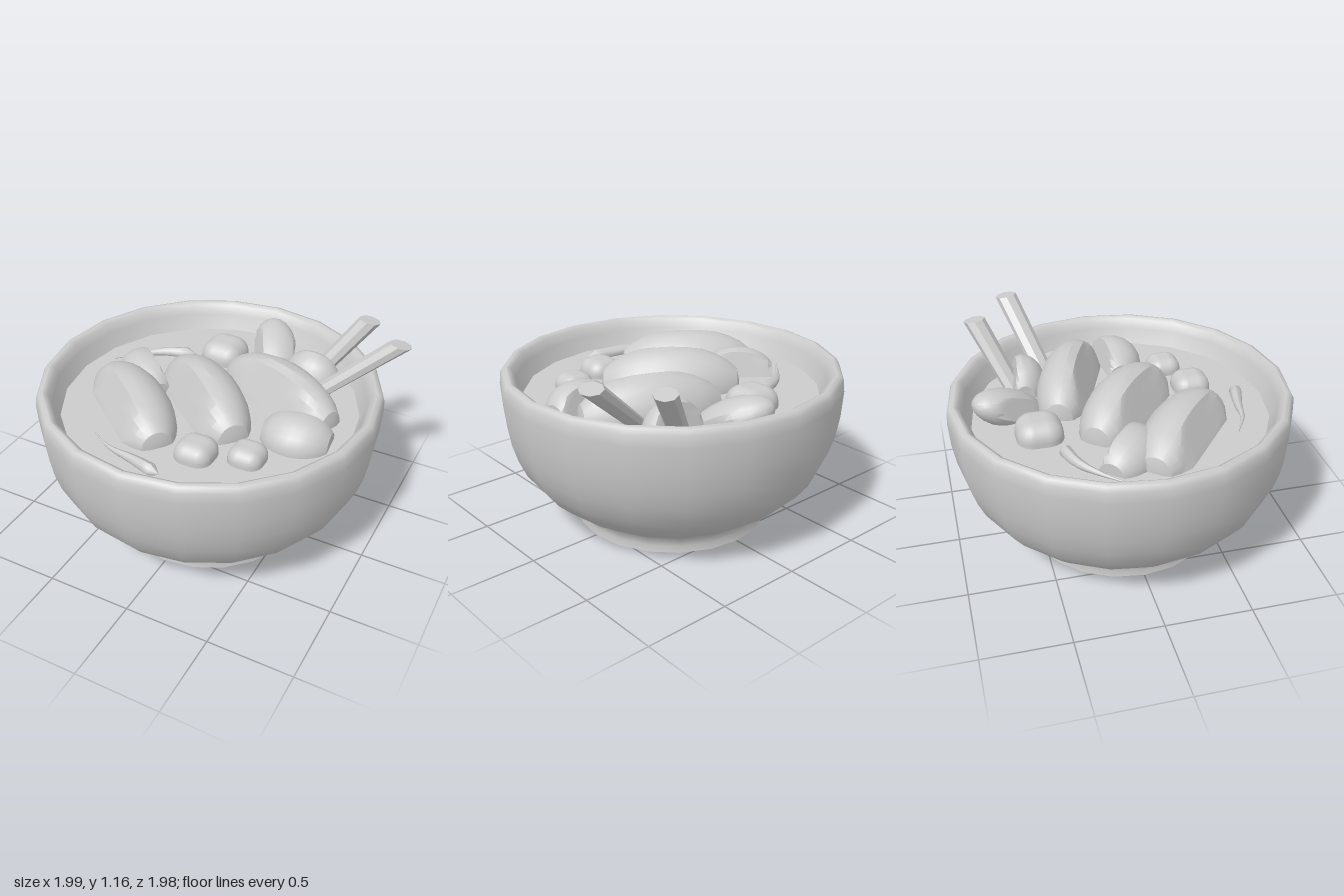
import * as THREE from 'three';
import { toCreasedNormals } from 'three/addons/utils/BufferGeometryUtils.js';
import { RoundedBoxGeometry } from 'three/addons/geometries/RoundedBoxGeometry.js';

const material = new THREE.MeshStandardMaterial({ color: 0xcccccc });
const SOUP_Y = 0.77;

export function createModel() {
  const model = new THREE.Group();

  function add(name, geometry, x = 0, y = 0, z = 0, turn = 0, tilt = 0) {
    const mesh = new THREE.Mesh(geometry, material);
    mesh.name = name;
    mesh.position.set(x, y, z);
    mesh.rotation.set(0, -THREE.MathUtils.degToRad(turn), THREE.MathUtils.degToRad(tilt));
    model.add(mesh);
    return mesh;
  }

  // Ellipsoid with flat cuts; each cut is [nx, ny, nz, distance] on the unit sphere
  function cutPiece(sx, sy, sz, cuts) {
    const g = new THREE.SphereGeometry(1, 20, 14);
    g.rotateZ(Math.PI / 2);
    const pos = g.attributes.position;
    const p = new THREE.Vector3();
    const n = new THREE.Vector3();
    for (let i = 0; i < pos.count; i++) {
      p.fromBufferAttribute(pos, i);
      for (const [nx, ny, nz, d] of cuts) {
        n.set(nx, ny, nz).normalize();
        const over = p.dot(n) - d;
        if (over > 0) p.addScaledVector(n, -over);
      }
      pos.setXYZ(i, p.x * sx, p.y * sy, p.z * sz);
    }
    return toCreasedNormals(g, 0.5);
  }

  // Bowl with foot, thick rim and inner wall
  const profile = [
    [0, 0], [0.575, 0], [0.57, 0.04], [0.58, 0.09], [0.65, 0.14], [0.74, 0.2], [0.82, 0.275],
    [0.885, 0.36], [0.93, 0.46], [0.96, 0.56], [0.98, 0.68], [0.99, 0.83], [0.985, 0.895],
    [0.97, 0.922], [0.945, 0.93], [0.92, 0.915], [0.9, 0.86], [0.86, SOUP_Y], [0.82, 0.69],
  ].map(([r, y]) => new THREE.Vector2(r, y));
  add('bowl', toCreasedNormals(new THREE.LatheGeometry(profile, 20), 0.85), -0.005);

  // Broth surface
  const broth = new THREE.CircleGeometry(0.862, 20);
  broth.rotateX(-Math.PI / 2);
  add('broth', broth, -0.005, SOUP_Y);

  // Three long wedges with one flat slanted face and blunt ends
  const wedgeCuts = [[0, 0.5, 0.87, 0.68], [1, 0, 0, 0.93], [-1, 0, 0, 0.93]];
  for (const [x, z, turn, half, height, width] of [
    [-0.36, 0.27, 39, 0.43, 0.215, 0.21],
    [-0.02, 0.03, 39, 0.43, 0.24, 0.21],
    [0.34, -0.225, 21, 0.43, 0.235, 0.19],
  ]) add('wedge', cutPiece(half, height, width, wedgeCuts), x, SOUP_Y, z, turn);

  // Smaller half-round chunks
  const chunkCuts = [[0, 0.25, -1, 0.45], [1, 0, 0, 0.9], [-1, 0, 0, 0.9]];
  for (const [x, z, turn, half, height, width] of [
    [0.58, 0.09, -6, 0.21, 0.16, 0.18],
    [0.42, -0.5, 4, 0.18, 0.19, 0.14],
    [-0.47, -0.07, 40, 0.23, 0.16, 0.17],
  ]) add('chunk', cutPiece(half, height, width, chunkCuts), x, SOUP_Y, z, turn);

  // Pointed slice propped up against the back wall
  const slice = cutPiece(0.24, 0.11, 0.14, [[0, -0.3, 1, 0.75], [-0.3, 0, -1, 0.85]]);
  add('proppedSlice', slice, 0.115, SOUP_Y + 0.04, -0.635, 62, 155);

  // Rounded cubes floating in the broth
  for (const [x, z, size] of [[-0.16, -0.5, 0.265], [0.16, 0.475, 0.22], [0.42, 0.38, 0.2]]) {
    add('cube', new RoundedBoxGeometry(size, size * 0.9, size, 3, size * 0.36), x, SOUP_Y, z);
  }

  // Thin curved slivers, tapering to a point at the start
  function sliver(points) {
    const curve = new THREE.CatmullRomCurve3(
      points.map(([x, z]) => new THREE.Vector3(x, SOUP_Y + 0.015, z)));
    const rings = 10, sides = 8;
    const g = new THREE.TubeGeometry(curve, rings, 1, sides);
    const pos = g.attributes.position;
    const p = new THREE.Vector3();
    for (let i = 0; i < pos.count; i++) {
      const t = Math.floor(i / (sides + 1)) / rings;
      const radius = t === 1 ? 0.002 : 0.004 + 0.034 * t * t * (3 - 2 * t);
      const c = curve.getPointAt(t);
      p.fromBufferAttribute(pos, i).sub(c).multiplyScalar(radius).add(c);
      pos.setXYZ(i, p.x, p.y, p.z);
    }
    g.computeVertexNormals();
    return g;
  }
  add('sliver', sliver([[-0.745, -0.135], [-0.62, -0.26], [-0.5, -0.35], [-0.32, -0.41]]));
  add('sliver', sliver([[-0.415, 0.575], [-0.28, 0.65], [-0.12, 0.68], [0.075, 0.73]]));

  // Leaning chopsticks with level-cut ends
  for (const [base, tip] of [
    [[0.36, 0.69, -0.52], [0.67, 1.12, -0.74]],
    [[0.4, 0.69, -0.31], [0.93, 1.145, -0.51]],
  ]) {
    const height = tip[1] - base[1];
    const g = new THREE.CylinderGeometry(0.064, 0.058, height, 8);
    g.translate(0, height / 2, 0);
    const pos = g.attributes.position;
    for (let i = 0; i < pos.count; i++) {
      const t = pos.getY(i) / height;
      const x = pos.getX(i), z = pos.getZ(i);
      pos.setXYZ(i, x + t * (tip[0] - base[0]), pos.getY(i) - 0.15 * t * (x - z), z + t * (tip[2] - base[2]));
    }
    add('chopstick', toCreasedNormals(g, 0.3), ...base);
  }

  return model;
}
